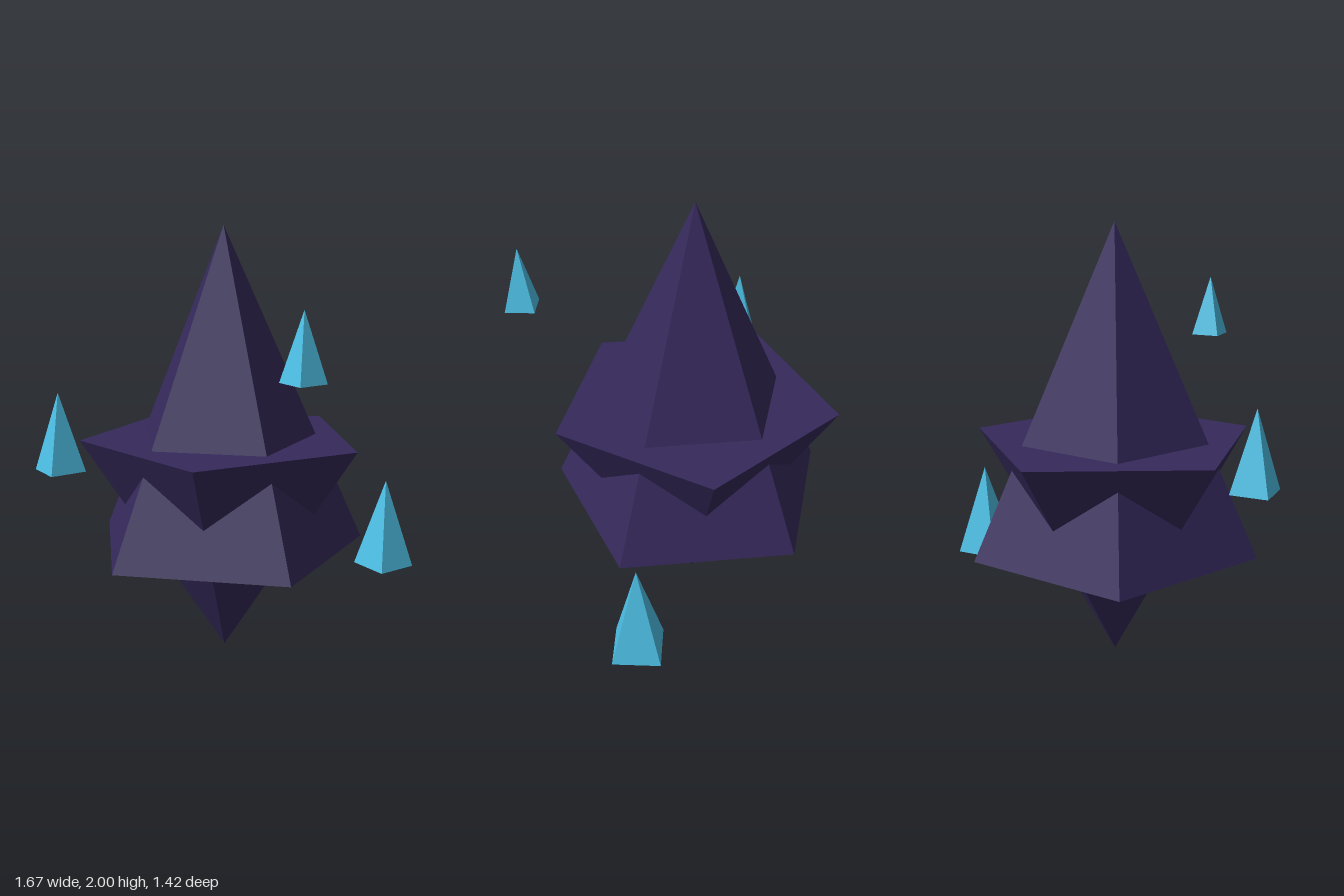
import * as THREE from 'three';

const darkPurple = new THREE.MeshStandardMaterial({ color: 0x35295b });
const iceBlue = new THREE.MeshStandardMaterial({ color: 0x4dc0e6 });
darkPurple.flatShading = true;
iceBlue.flatShading = true;

// Closed pyramid whose base sits at baseY and whose tip is at tipY (tip may be below)
function spike(name, material, sides, radius, baseY, tipY, x, z) {
  const height = Math.abs(tipY - baseY);
  const mesh = new THREE.Mesh(new THREE.ConeGeometry(radius, height, sides), material);
  mesh.name = name;
  mesh.position.set(x, (baseY + tipY) / 2, z);
  if (tipY < baseY) mesh.rotation.x = Math.PI;
  return mesh;
}

export function createModel() {
  const model = new THREE.Group();
  model.name = 'floatingCrystal';

  // Two interpenetrating five-sided pyramids form the star-shaped core
  const core = new THREE.Group();
  core.name = 'core';
  const upper = spike('upperSpike', darkPurple, 5, 0.665, 0.525, 2, -0.053, -0.05);
  upper.rotation.y = Math.PI;
  const lower = spike('lowerSpike', darkPurple, 5, 0.665, 1.038, 0, -0.053, -0.05);
  lower.rotation.y = Math.PI;
  lower.rotation.order = 'YXZ';
  core.add(upper, lower);
  model.add(core);

  // Small four-sided shards hovering around the core: x, z, radius, base, tip
  const shards = [
    [0.39, 0.615, 0.095, 1.415, 1.7],
    [-0.72, 0.32, 0.117, 0.938, 1.289],
    [0.686, -0.495, 0.147, 0.3, 0.741],
  ];
  shards.forEach(([x, z, r, base, tip], i) => {
    model.add(spike('shard' + (i + 1), iceBlue, 4, r, base, tip, x, z));
  });
  return model;
}
